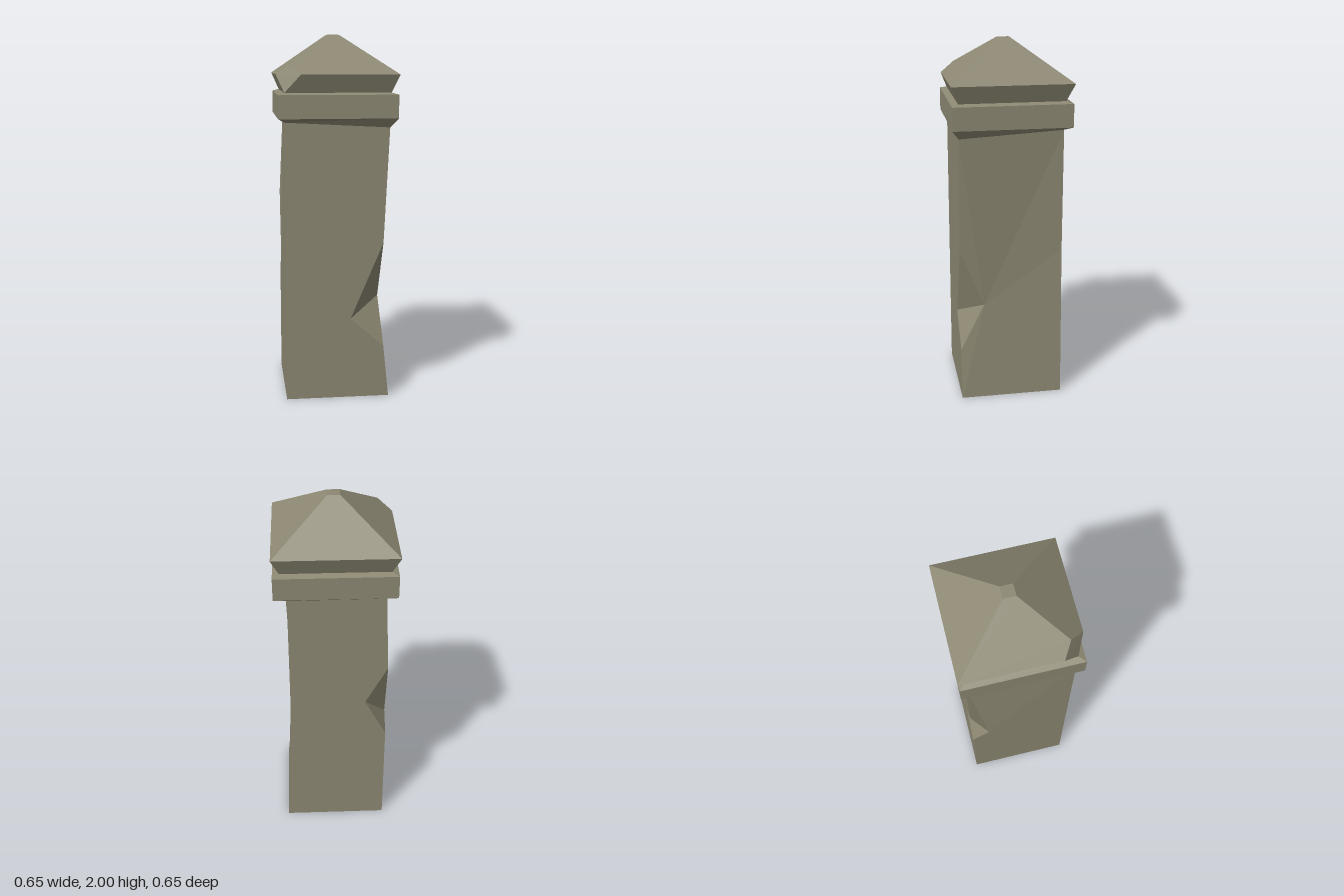
import * as THREE from 'three';

const stone = new THREE.MeshStandardMaterial({ color: 0x8c8873 });
stone.name = 'weathered stone';

// Flat-faced mesh from polygons; each is fanned from its first point
function facetedMesh(name, polygons) {
  const pos = [];
  for (const p of polygons)
    for (let i = 1; i < p.length - 1; i++) pos.push(...p[0], ...p[i], ...p[i + 1]);
  const geo = new THREE.BufferGeometry();
  geo.setAttribute('position', new THREE.Float32BufferAttribute(pos, 3));
  geo.computeVertexNormals();
  const mesh = new THREE.Mesh(geo, stone);
  mesh.name = name;
  return mesh;
}

// Square of corners: front right, front left, back left, back right
const square = (r, y) => [[-r, y, r], [r, y, r], [r, y, -r], [-r, y, -r]];

// Four side faces between two squares
const band = (lo, hi) => lo.map((p, i) => {
  const j = (i + 1) % 4;
  return [p, lo[j], hi[j], hi[i]];
});

export function createModel() {
  const group = new THREE.Group();
  group.name = 'stonePost';
  const w = 0.285;

  // Shaft with uneven top corners, a worn edge and two chipped edges
  const base = square(w, 0);
  const top = [[-w, 1.54, w], [0.28, 1.51, w], [0.25, 1.535, -w], [-0.263, 1.555, -w]];
  const [a0, b0, c0, d0] = base;
  const [a1, b1, c1, d1] = top;
  const kink = [0.25, 0.86, -w];
  // Chip points: top, left, right, bottom
  const [p1, p2, p3, p4] = [[0.25, 0.88, w], [0.07, 0.455, w], [0.24, 0.55, 0.15], [0.255, 0.29, w]];
  const [q1, q2, q3, q4] = [[-w, 1.09, -w], [-0.165, 0.86, -w], [-w, 0.72, -0.185], [-w, 0.63, -w]];
  group.add(facetedMesh('shaft', [
    [p2, p1, b1, a1, a0, b0, p4],
    [p3, p4, b0, c0, kink, c1, b1, p1],
    [q2, q1, d1, c1, kink, c0, d0, q4],
    [q3, q4, d0, a0, a1, d1, q1],
    [d0, c0, b0, a0],
  ]));
  group.add(facetedMesh('shaftChips', [
    [p1, p2, p3], [p2, p4, p3],
    [q1, q2, q3], [q2, q4, q3],
  ]));

  // Collar: sloped underside, straight band, shallow top bevel
  const neck = square(0.285, 1.695);
  const levels = [top, square(0.32, 1.56), square(0.32, 1.685), neck];
  const collar = [];
  for (let i = 0; i < 3; i++) collar.push(...band(levels[i], levels[i + 1]));
  group.add(facetedMesh('collar', collar));

  // Flared pyramid cap with one broken corner
  const eave = square(0.325, 1.79);
  const peak = square(0.033, 2);
  const chipSide = [-0.325, 1.79, 0.2];
  const chipFront = [-0.2, 1.79, 0.325];
  const chipRidge = [-0.248, 1.845, 0.248];
  const flare = band(neck, eave);
  flare[0] = [neck[0], neck[1], eave[1], chipFront];
  flare[3] = [neck[3], neck[0], chipSide, eave[3]];
  const roof = band(eave, peak);
  roof[0] = [chipFront, eave[1], peak[1], peak[0], chipRidge];
  roof[3] = [eave[3], chipSide, chipRidge, peak[0], peak[3]];
  group.add(facetedMesh('capFlare', flare));
  group.add(facetedMesh('capRoof', [...roof, peak]));
  group.add(facetedMesh('capChip', [[chipSide, neck[0], chipFront, chipRidge]]));

  return group;
}
